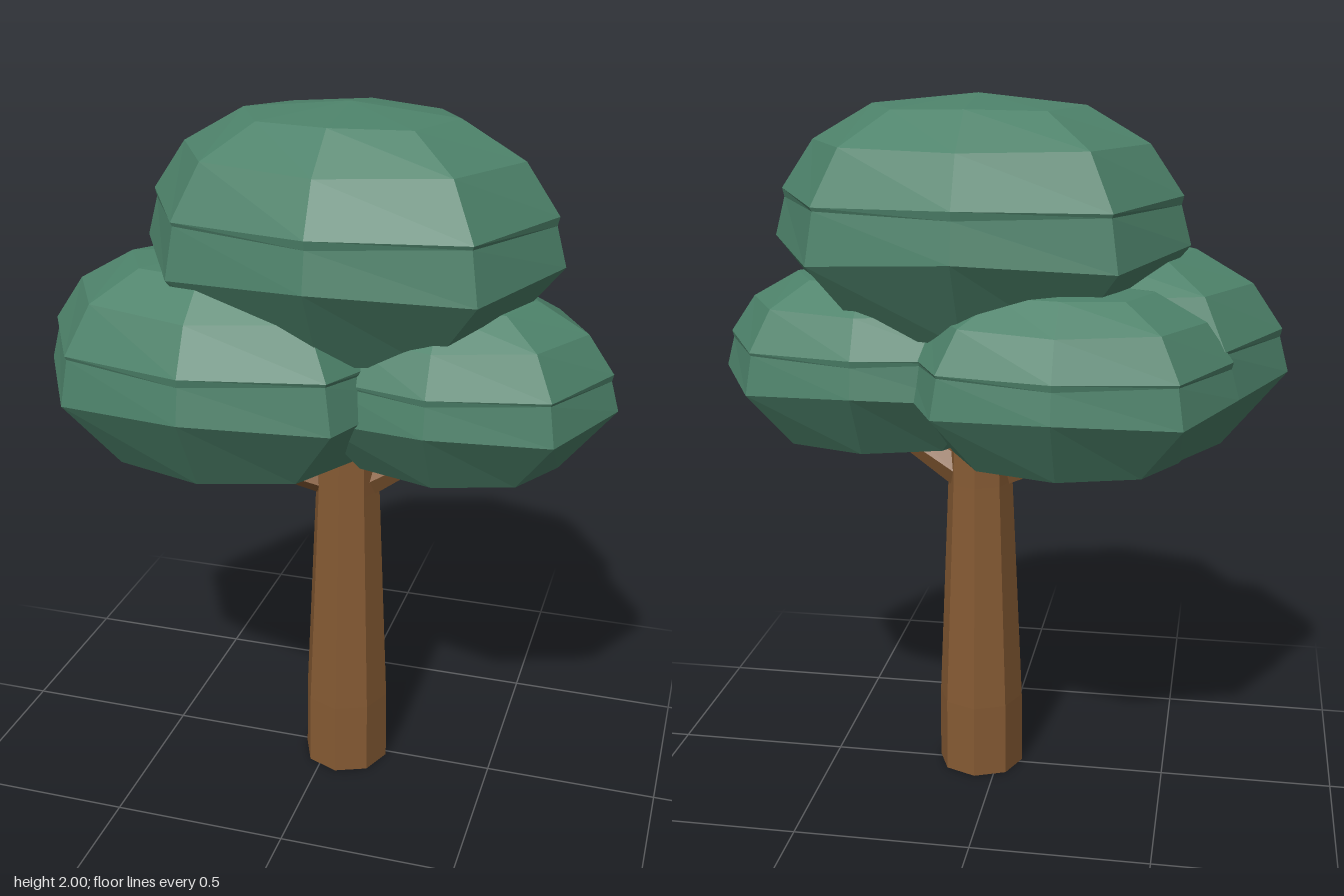
import * as THREE from 'three';

export function createModel() {
  const tree = new THREE.Group();
  tree.name = 'tree';
  const bark = new THREE.MeshStandardMaterial({ color: 0x855a33, flatShading: true });
  bark.name = 'bark brown';
  const leaf = new THREE.MeshStandardMaterial({ color: 0x4d826a, flatShading: true });
  leaf.name = 'leaf green';

  const add = (name, geometry, material) => {
    const mesh = new THREE.Mesh(geometry, material);
    mesh.name = name;
    tree.add(mesh);
    return mesh;
  };
  const lathe = (profile) =>
    new THREE.LatheGeometry(profile.map(([r, y]) => new THREE.Vector2(r, y)), 8);

  // Eight-sided trunk, straight at the foot and tapering upward
  add('trunk', lathe([[0, 0], [0.127, 0], [0.125, 0.22], [0.095, 0.9], [0.09, 1.08], [0, 1.08]]), bark)
    .position.set(0.055, 0, 0.017);

  // Short tapered branches carrying the side clumps
  const branch = (name, from, to, r0, r1) => {
    const a = new THREE.Vector3(...from), b = new THREE.Vector3(...to);
    const dir = b.clone().sub(a);
    const mesh = add(name, new THREE.CylinderGeometry(r1, r0, dir.length(), 6), bark);
    mesh.position.copy(a).add(b).multiplyScalar(0.5);
    mesh.quaternion.setFromUnitVectors(new THREE.Vector3(0, 1, 0), dir.normalize());
  };
  branch('rightBranch', [0.03, 0.92, 0.02], [-0.28, 1.0, 0.1], 0.055, 0.025);
  branch('leftBranch', [0.08, 0.91, 0.01], [0.31, 1.05, 0.01], 0.055, 0.03);

  // Clump rings from bottom to top: radius, height, height change on the diagonals
  const rings = [
    [0, 0, 0], [0.67, 0.09, 0], [1, 0.43, -0.05], [0.95, 0.585, 0], [0.96, 0.62, -0.02],
    [0.8, 0.815, 0], [0.505, 0.957, -0.01], [0, 1, 0],
  ];
  const clump = (name, x, y, z, rx, h, rz) => {
    const geometry = lathe(rings);
    const p = geometry.attributes.position;
    const n = rings.length;
    for (let i = 0; i < p.count; i++) {
      const diagonal = Math.floor(i / n) % 2;
      if (diagonal) p.setY(i, p.getY(i) + rings[i % n][2]);
    }
    geometry.scale(rx, h, rz);
    geometry.computeVertexNormals();
    add(name, geometry, leaf).position.set(x, y, z);
  };
  clump('topFoliage', 0.055, 1.3, 0.01, 0.585, 0.7, 0.43);
  clump('frontFoliage', -0.27, 0.96, 0.1, 0.54, 0.645, 0.395);
  clump('leftFoliage', 0.348, 0.985, 0.01, 0.455, 0.54, 0.342);
  clump('backFoliage', -0.213, 0.985, -0.16, 0.465, 0.54, 0.34);

  return tree;
}
